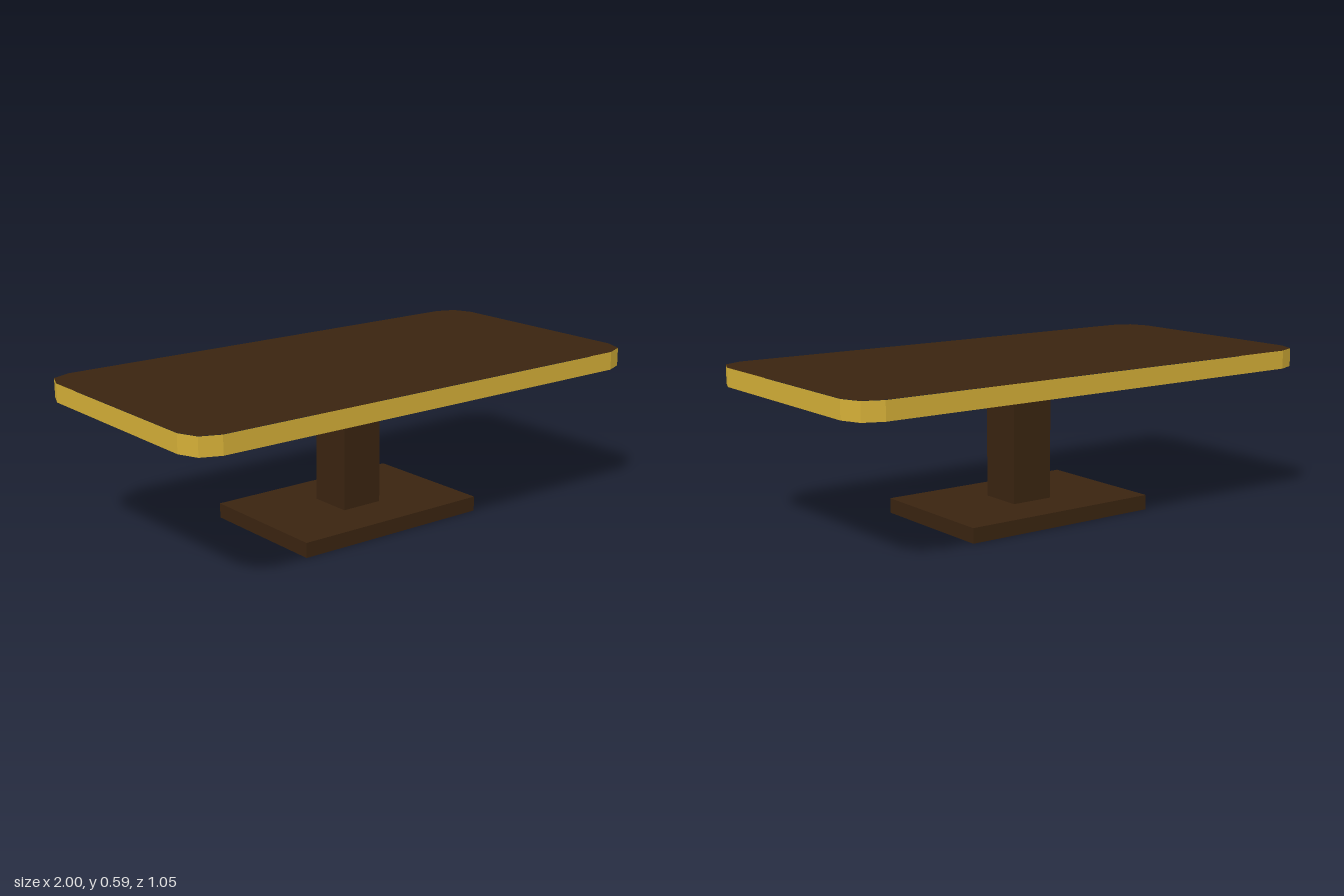
import * as THREE from 'three';

// Rectangle outline, counter-clockwise, with optional faceted round corners
function outline(halfX, halfY, radius = 0, steps = 2) {
  const points = [];
  const corners = [[1, 1], [-1, 1], [-1, -1], [1, -1]];
  corners.forEach(([sx, sy], i) => {
    if (!radius) {
      points.push(new THREE.Vector2(sx * halfX, sy * halfY));
      return;
    }
    for (let k = 0; k <= steps; k++) {
      const a = (i + k / steps) * Math.PI / 2;
      points.push(new THREE.Vector2(
        sx * (halfX - radius) + radius * Math.cos(a),
        sy * (halfY - radius) + radius * Math.sin(a)));
    }
  });
  return points;
}

// Thin upright band following an outline
function wallGeometry(points, y0, y1) {
  const pos = [];
  points.forEach((a, i) => {
    const b = points[(i + 1) % points.length];
    pos.push(a.x, y0, -a.y, b.x, y0, -b.y, b.x, y1, -b.y);
    pos.push(a.x, y0, -a.y, b.x, y1, -b.y, a.x, y1, -a.y);
  });
  const geometry = new THREE.BufferGeometry();
  geometry.setAttribute('position', new THREE.Float32BufferAttribute(pos, 3));
  geometry.computeVertexNormals();
  return geometry;
}

// Flat horizontal sheet with an optional hole
function sheetGeometry(points, y, hole) {
  const shape = new THREE.Shape(points);
  if (hole) shape.holes.push(new THREE.Path(hole));
  return new THREE.ShapeGeometry(shape).rotateX(-Math.PI / 2).translate(0, y, 0);
}

export function createModel() {
  const wood = new THREE.MeshStandardMaterial({ color: 0x3a2410, side: THREE.DoubleSide });
  wood.name = 'dark wood';
  const brass = new THREE.MeshStandardMaterial({ color: 0xd4af37, side: THREE.DoubleSide });
  brass.name = 'brass';

  const model = new THREE.Group();
  model.name = 'pedestalTable';
  const add = (name, geometry, material) => {
    const mesh = new THREE.Mesh(geometry, material);
    mesh.name = name;
    model.add(mesh);
  };

  const baseTop = 0.056, rimBottom = 0.521, height = 0.59;
  const top = outline(0.984, 0.492, 0.102);
  const base = outline(0.399, 0.269);
  const post = outline(0.084, 0.084);

  // Tabletop: wooden sheet inside an open brass rim
  add('tabletop', sheetGeometry(top, height), wood);
  add('rim', wallGeometry(top, rimBottom, height - 0.001), brass);

  // Hollow square post
  add('post', wallGeometry(post, baseTop, height), wood);

  // Base: shallow plinth, open below and into the post
  add('baseTop', sheetGeometry(base, baseTop, post), wood);
  add('baseSides', wallGeometry(base, 0, baseTop), wood);

  // The whole table stands slightly turned
  model.rotation.y = 0.04;
  return model;
}
